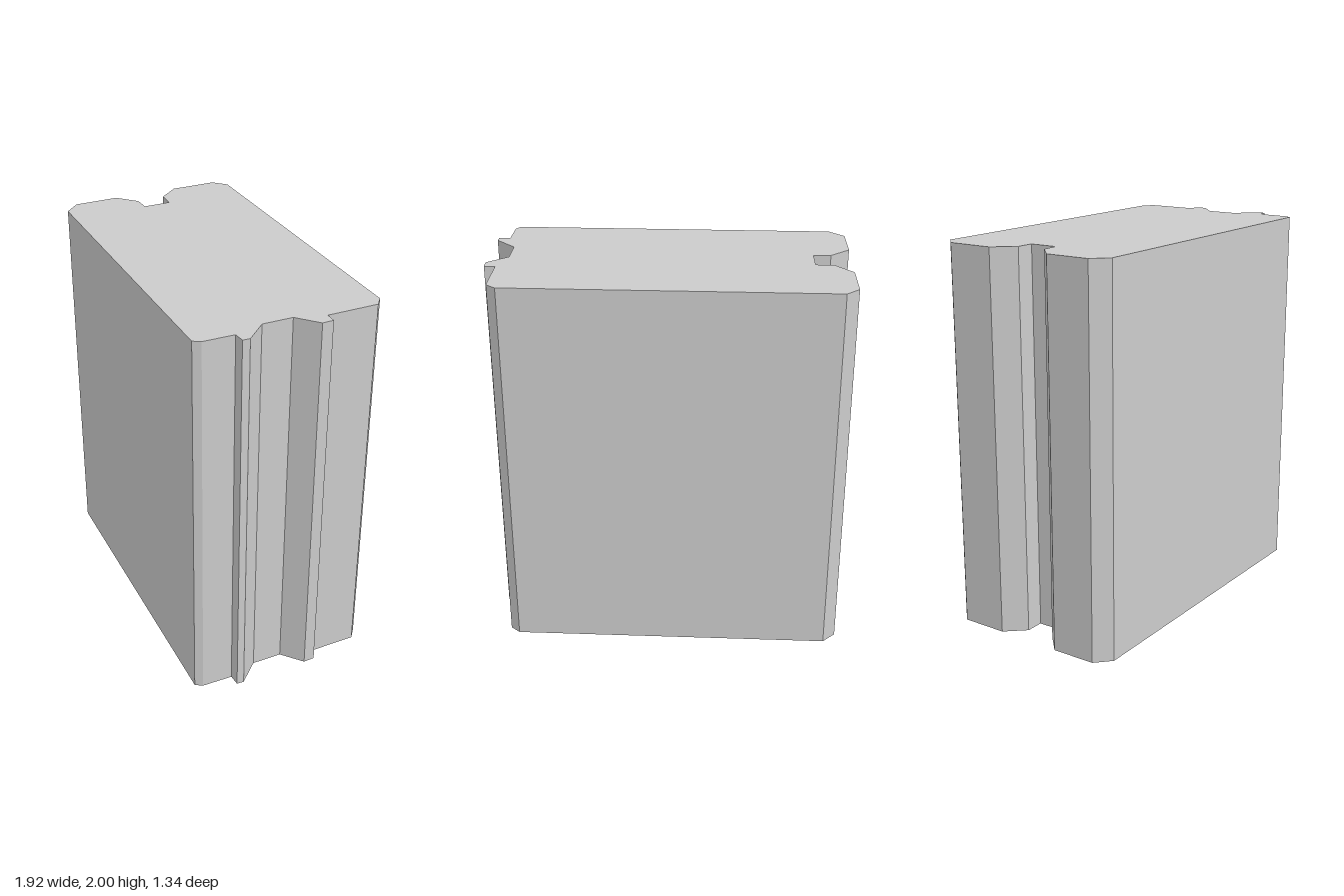
import * as THREE from 'three';

// Plan outline of the block as [x, z], going round from the back left corner
const outline = [
  // back face and its chamfer
  [-0.695, -0.673], [0.917, -0.276], [0.956, -0.226],
  // end with two tongues
  [0.897, 0.033], [0.951, 0.047], [0.94, 0.105], [0.818, 0.17],
  [0.782, 0.323], [0.858, 0.453], [0.848, 0.489], [0.79, 0.48],
  // front face and its chamfers
  [0.75, 0.636], [0.72, 0.667], [-0.903, 0.266], [-0.961, 0.174],
  // end with the groove
  [-0.91, -0.054], [-0.792, -0.121], [-0.705, -0.103],
  [-0.673, -0.244], [-0.764, -0.269], [-0.828, -0.39], [-0.774, -0.626],
];

export function createModel() {
  const group = new THREE.Group();
  group.name = 'tongueAndGrooveBlock';

  // Straight upright extrusion of the outline
  const shape = new THREE.Shape(outline.map(([x, z]) => new THREE.Vector2(x, -z)));
  const geometry = new THREE.ExtrudeGeometry(shape, { depth: 2, bevelEnabled: false });
  geometry.rotateX(-Math.PI / 2);

  const material = new THREE.MeshStandardMaterial({ color: 0xcccccc, flatShading: true });
  const block = new THREE.Mesh(geometry, material);
  block.name = 'block';
  group.add(block);
  return group;
}
